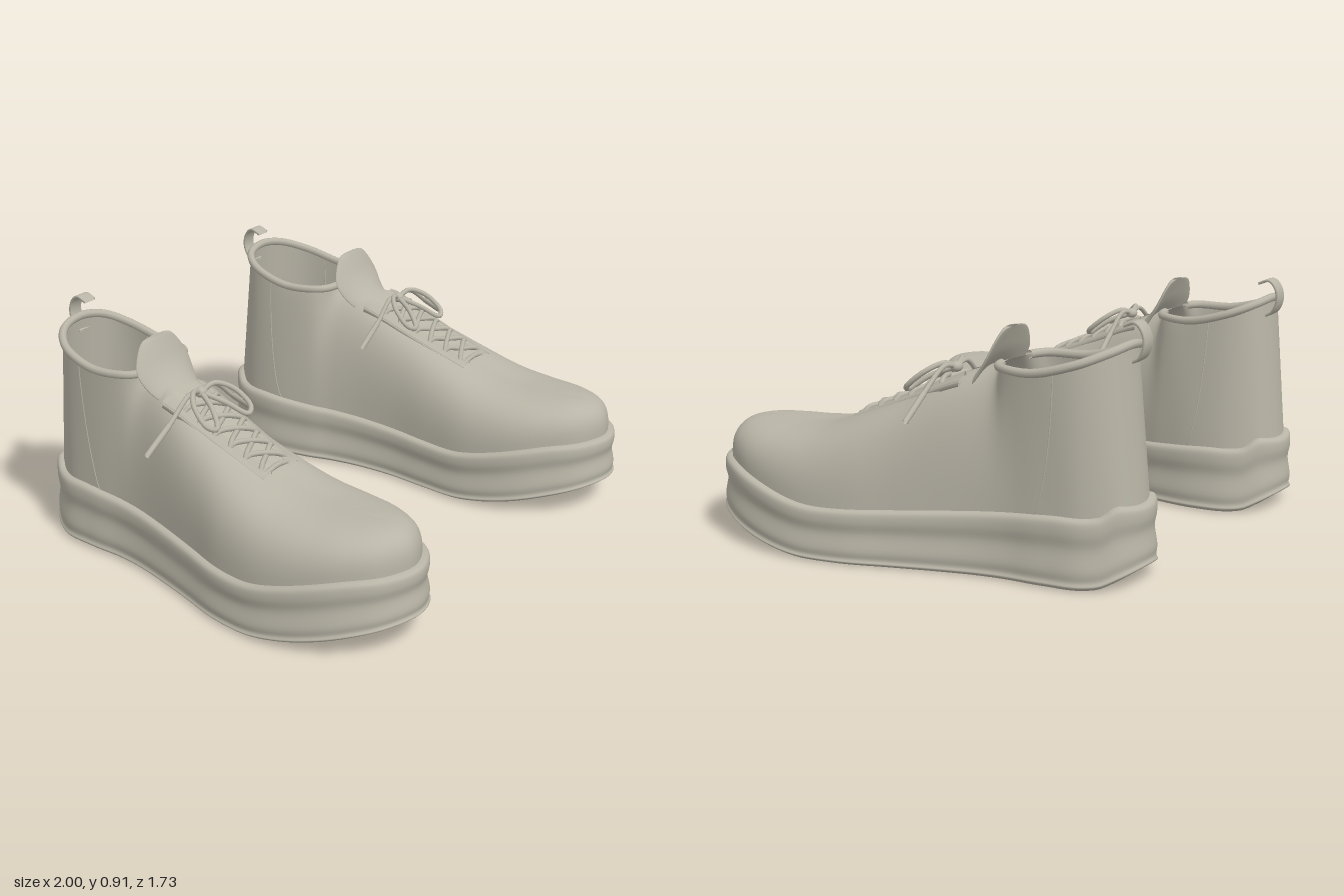
import * as THREE from 'three';

const V = (x, y, z) => new THREE.Vector3(x, y, z);
const material = new THREE.MeshStandardMaterial({ color: 0xb8b4a6, side: THREE.DoubleSide });
material.name = 'warm grey';

// Sole outline [x, z], from the toe along the outer side, round the heel and back
const SOLE = [
  [0.69, 0.865], [0.835, 0.81], [0.93, 0.69], [0.982, 0.54], [1, 0.36], [0.972, 0.17], [0.915, 0],
  [0.865, -0.16], [0.828, -0.3], [0.81, -0.42], [0.805, -0.56], [0.782, -0.71], [0.695, -0.83],
  [0.56, -0.868], [0.43, -0.825], [0.35, -0.71], [0.328, -0.56], [0.35, -0.4], [0.38, -0.29],
  [0.4, -0.16], [0.403, 0], [0.384, 0.17], [0.366, 0.36], [0.39, 0.55], [0.447, 0.69], [0.543, 0.81],
];
// Ridge and collar from toe to heel: centre x, half width, y, z, roundness of the wall (2 = straight)
const EDGE = [
  [0.68, 0, 0.432, 0.66, 0.65], [0.68, 0, 0.435, 0.62, 0.65], [0.68, 0, 0.435, 0.54, 0.67],
  [0.675, 0, 0.44, 0.43, 0.72], [0.67, 0, 0.465, 0.32, 0.75], [0.66, 0, 0.53, 0.16, 0.74],
  [0.65, 0, 0.6, 0, 0.7], [0.64, 0, 0.68, -0.17, 0.7], [0.62, 0, 0.735, -0.32, 0.82],
  [0.598, 0.152, 0.738, -0.37, 1.15], [0.59, 0.192, 0.737, -0.52, 1.55], [0.582, 0.178, 0.775, -0.67, 1.8],
  [0.572, 0.11, 0.812, -0.758, 2], [0.57, 0, 0.828, -0.783, 2],
];
const N = SOLE.length;
const loop = (f) => new THREE.CatmullRomCurve3(SOLE.map((p, i) => {
  const outer = i < EDGE.length;
  return f(p, EDGE[outer ? i : N - i], outer ? 1 : -1);
}), true, 'catmullrom', 0.5);
const outline = loop((p) => V(p[0], 0, p[1]));
const edge = loop((p, e, side) => V(e[0] + side * e[1], e[2], e[3]));
const roundness = loop((p, e) => V(e[4], 0, 0));

// Smooth height profile through [z, y] pairs, z ascending
function profile(pts) {
  const slope = (i) => {
    const a = pts[Math.max(i - 1, 0)], b = pts[Math.min(i + 1, pts.length - 1)];
    return (b[1] - a[1]) / (b[0] - a[0]);
  };
  return (z) => {
    const c = THREE.MathUtils.clamp(z, pts[0][0], pts[pts.length - 1][0]);
    let i = 0;
    while (i < pts.length - 2 && c > pts[i + 1][0]) i++;
    const [z0, y0] = pts[i], [z1, y1] = pts[i + 1], d = z1 - z0, s = (c - z0) / d;
    const q = s * s * (3 - 2 * s), m = s * (1 - s);
    return y0 + (y1 - y0) * q + d * m * ((1 - s) * slope(i) - s * slope(i + 1));
  };
}
const soleTop = profile([[-0.87, 0.285], [-0.82, 0.295], [-0.77, 0.26], [-0.6, 0.255],
  [-0.2, 0.222], [0.15, 0.2], [0.35, 0.205], [0.7, 0.285], [0.86, 0.3]]);
const soleBottom = profile([[-0.87, 0.06], [-0.82, 0.03], [-0.76, 0.004], [-0.6, 0], [0.3, 0],
  [0.45, 0.015], [0.6, 0.045], [0.87, 0.115]]);
const ridge = profile(EDGE.slice(4, 9).reverse().map((e) => [e[3], e[2]]));

// Surface from fn(u, v); u may close on itself
function grid(fn, nu, nv, closed) {
  const pos = [], index = [], cols = closed ? nu : nu + 1;
  for (let j = 0; j <= nv; j++)
    for (let i = 0; i < cols; i++) pos.push(...fn(i / nu, j / nv).toArray());
  for (let j = 0; j < nv; j++)
    for (let i = 0; i < nu; i++) {
      const a = j * cols + i, b = j * cols + (i + 1) % cols;
      index.push(a, b, a + cols, b, b + cols, a + cols);
    }
  const g = new THREE.BufferGeometry();
  g.setAttribute('position', new THREE.Float32BufferAttribute(pos, 3));
  g.setIndex(index);
  g.computeVertexNormals();
  return g;
}

// Outline point moved inwards
function inset(t, d) {
  const p = outline.getPoint(t), n = outline.getTangent(t);
  return V(p.x + n.z * d, 0, p.z - n.x * d);
}

// Flat surface that fills the outline
const fill = (d, height) => grid((u, v) => {
  const p = inset(u, d);
  return V(THREE.MathUtils.lerp(0.645 + 0.08 * p.z, p.x, v), height(outline.getPoint(u).z), p.z);
}, 156, 4, true);
const bedHeight = (z) => soleTop(z) - 0.008;

// Wall of the upper, from the sole (v = 0) to the ridge or collar (v = 1)
function wall(t, v) {
  const p = inset(t, 0.032), q = edge.getPoint(t), e = roundness.getPoint(t).x;
  const y = soleTop(outline.getPoint(t).z) - 0.015;
  const h = 1 - Math.pow(Math.cos(v * Math.PI / 2), e), k = Math.pow(Math.sin(v * Math.PI / 2), e);
  return V(p.x + (q.x - p.x) * h, y + (q.y - y) * k, p.z + (q.z - p.z) * h);
}

// Point on the instep, dx to the side of its centre line
const instep = (dx, z, lift) => V(0.65 + 0.06 * z + dx,
  0.21 + (ridge(z) - 0.21) * Math.pow(1 - Math.pow(Math.abs(dx) / 0.23, 2.86), 0.35) + lift, z);

function createShoe() {
  const shoe = new THREE.Group();
  const add = (name, geometry) => {
    const m = new THREE.Mesh(geometry, material);
    m.name = name;
    shoe.add(m);
  };
  const tube = (name, pts, r, seg) =>
    add(name, new THREE.TubeGeometry(new THREE.CatmullRomCurve3(pts), seg, r, 8));

  // Sole wall with its shallow grooves: (inset, height fraction)
  const section = new THREE.SplineCurve([[0.014, 0], [0, 0.05], [0.006, 0.115], [0.003, 0.26], [0.013, 0.54],
    [0.005, 0.76], [0.01, 0.94], [0.04, 0.985]].map(([d, f]) => new THREE.Vector2(d, f)));
  add('sole', grid((u, v) => {
    const s = section.getPoint(v), z = outline.getPoint(u).z, b = soleBottom(z);
    return inset(u, s.x).setY(b + (soleTop(z) - b) * s.y);
  }, 156, 28, true));
  add('tread', fill(0.014, soleBottom));
  const bed = fill(0.034, bedHeight);
  bed.setIndex([...bed.index.array].reverse());
  bed.computeVertexNormals();
  add('footbed', bed);
  tube('footbedSeam', [[0.53, -0.3], [0.523, -0.45], [0.522, -0.58], [0.57, -0.63], [0.618, -0.58],
    [0.623, -0.45], [0.63, -0.3]].map(([x, z]) => V(x, bedHeight(z), z)), 0.003, 40);

  // Upper, padded collar and heel seams
  add('upper', grid(wall, 182, 20, true));
  const rim = [];
  for (let i = 0; i <= 40; i++) rim.push(edge.getPoint((8.6 + i / 40 * 8.8) / N));
  tube('collar', rim, 0.016, 90);
  for (const outer of [true, false]) {
    const seam = [];
    for (let i = 0; i <= 12; i++) {
      const k = 9.75 + 0.75 * Math.sin(i / 12 * Math.PI / 2);
      seam.push(wall((outer ? k : N - k) / N, i / 12 * 0.97));
    }
    tube('heelSeam', seam, 0.0025, 30);
  }

  // Tongue: (half width, y, z) from the instep to the tip
  const tongue = new THREE.CatmullRomCurve3([V(0.1, 0.66, -0.18), V(0.13, 0.71, -0.25), V(0.142, 0.765, -0.297),
    V(0.115, 0.82, -0.325), V(0.075, 0.858, -0.343), V(0.03, 0.86, -0.345)]);
  add('tongue', grid((u, v) => {
    const p = tongue.getPoint(v), c = Math.cos(u * Math.PI * 2), s = Math.sin(u * Math.PI * 2);
    return V(0.622 + p.x * c, p.y - 0.02 * c * c * (1 - v), p.z - 0.045 * c * c * (1 - v) - 0.012 * s);
  }, 32, 16, true));

  // Throat panel and the two raised eyelet strips
  const halfWidth = (z) => 0.115 - 0.05 * z;
  add('throatPanel', grid((u, v) => {
    const z = 0.25 - 0.46 * v;
    return instep((u * 2 - 1) * halfWidth(z), z, 0.003);
  }, 16, 16, false));
  for (const s of [-1, 1]) {
    add('eyeletStrip', grid((u, v) => {
      const z = 0.25 - 0.46 * v, w = halfWidth(z), k = Math.round(u * 4) % 4;
      const d = [w, w - 0.004, w - 0.05, w - 0.054][s > 0 ? k : 3 - k];
      return instep(s * d, z, k === 1 || k === 2 ? 0.009 : -0.012);
    }, 4, 20, true));
  }

  // Criss-cross laces and the bar across the lowest eyelets
  const laceRow = (i) => ({ z: 0.215 - i * 0.068, w: 0.072 + i * 0.005 });
  for (let i = 0; i < 5; i++)
    for (const s of [-1, 1]) {
      const a = laceRow(i), b = laceRow(i + 1);
      tube('lace', [instep(-s * a.w, a.z, 0.002), instep(-s * a.w * 0.8, a.z - 0.006, 0.013),
        instep(0, (a.z + b.z) / 2, 0.013 + s * 0.005), instep(s * b.w * 0.8, b.z + 0.006, 0.013),
        instep(s * b.w, b.z, 0.002)], 0.01, 14);
    }
  tube('lace', [-1, 0, 1].map((k) => instep(k * 0.07, 0.235, 0.009 - 0.007 * k * k)), 0.01, 10);

  // Bow: knot, two loops and two loose ends
  const knot = V(0.645, 0.695, -0.125);
  const ball = new THREE.SphereGeometry(0.022, 16, 10);
  ball.scale(1.2, 0.9, 1);
  ball.translate(knot.x, knot.y, knot.z);
  add('knot', ball);
  const around = (list) => list.map(([x, y, z]) => V(x, y, z).add(knot));
  for (const s of [-1, 1]) {
    tube('bowLoop', around([[0, 0, 0], [s * 0.06, 0.02, 0.015], [s * 0.115, -0.01, 0.065], [s * 0.125, -0.065, 0.13],
      [s * 0.09, -0.08, 0.145], [s * 0.04, -0.035, 0.085], [0, 0, 0]]), 0.01, 36);
    const reach = s > 0 ? 1 : 0.87, tip = [s * 0.31 * reach, -0.142, 0.004];
    const bend = [s * 0.19 * reach, -0.064, 0.009];
    tube('laceEnd', around([[0, 0, 0], [s * 0.07, 0.012, 0.005], bend, tip]), 0.009, 24);
    tube('laceTip', around([bend, tip]), 0.011, 4);
  }

  // Heel pull tab
  const hook = new THREE.CatmullRomCurve3([[0.765, -0.785], [0.785, -0.815], [0.83, -0.832], [0.875, -0.823],
    [0.902, -0.795], [0.888, -0.752]].map(([y, z]) => V(0.54, y, z)));
  add('pullTab', grid((u, v) => {
    const k = Math.round(u * 4) % 4, p = hook.getPoint(v), n = hook.getTangent(v);
    const w = k === 0 || k === 3 ? 0.028 : -0.028, h = k < 2 ? 0.005 : -0.005;
    return V(p.x + w, p.y - n.z * h, p.z + n.y * h);
  }, 4, 24, true));
  return shoe;
}

export function createModel() {
  const model = new THREE.Group();
  model.name = 'pairOfShoes';
  const left = createShoe();
  left.name = 'leftShoe';
  const right = createShoe();
  right.name = 'rightShoe';
  right.scale.x = -1;
  model.add(left, right);
  return model;
}
